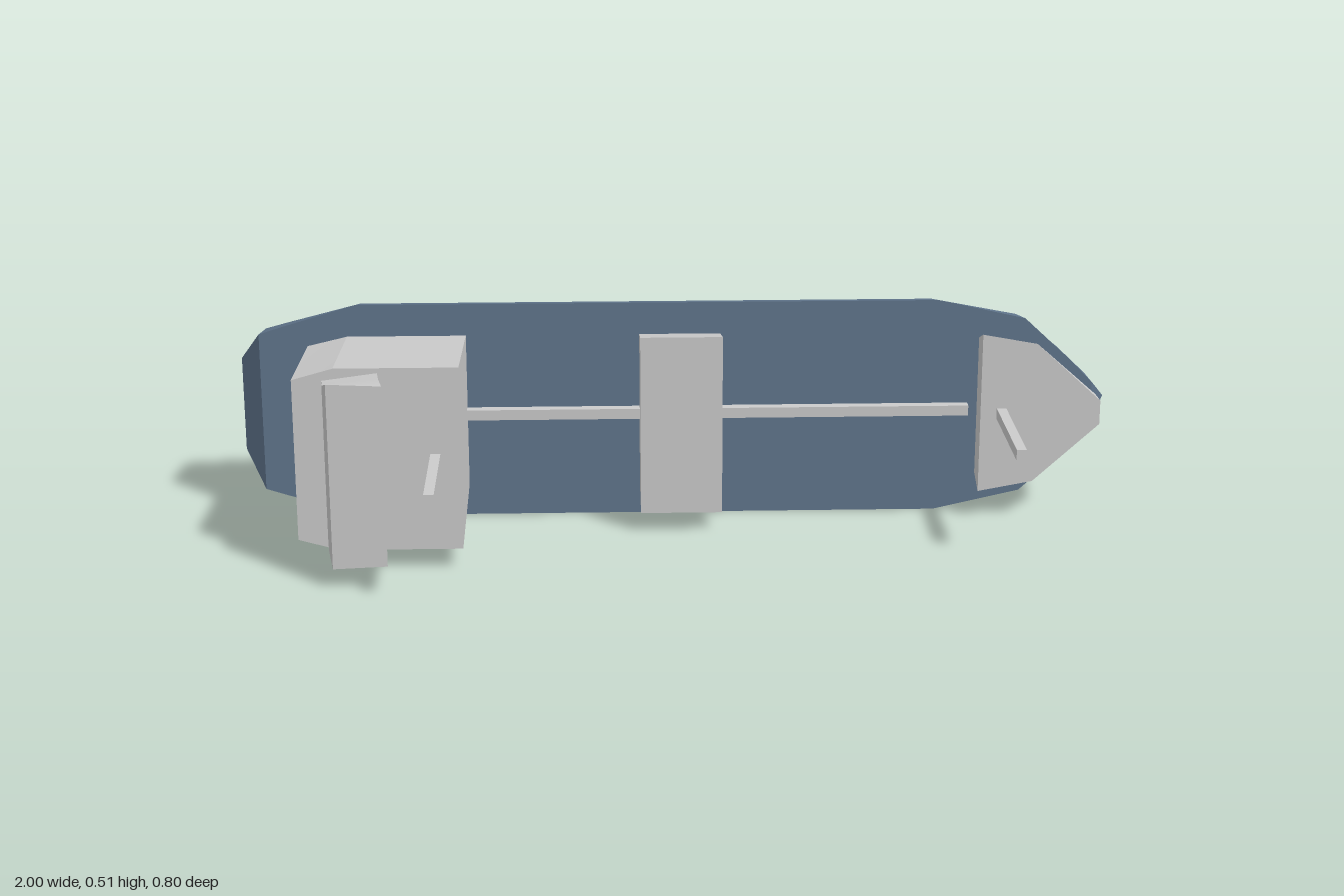
import * as THREE from 'three';
import { toCreasedNormals } from 'three/addons/utils/BufferGeometryUtils.js';

const CY = 0.257; // height of the ship's centreline
const DECK = -0.215;

// Skin a list of equal-length convex rings, closing both ends.
// Rings run counter-clockwise as seen from the end of the loft.
function loft(rings, crease) {
  const pos = [];
  const tri = (a, b, c) => pos.push(...a, ...b, ...c);
  const n = rings[0].length;
  for (let i = 0; i < rings.length - 1; i++) {
    for (let j = 0; j < n; j++) {
      const k = (j + 1) % n;
      const a = rings[i], b = rings[i + 1];
      tri(a[j], a[k], b[k]);
      tri(a[j], b[k], b[j]);
    }
  }
  const first = rings[0], last = rings[rings.length - 1];
  for (let j = 1; j < n - 1; j++) {
    tri(first[0], first[j + 1], first[j]);
    tri(last[0], last[j], last[j + 1]);
  }
  const g = new THREE.BufferGeometry();
  g.setAttribute('position', new THREE.Float32BufferAttribute(pos, 3));
  return toCreasedNormals(g, crease);
}

// Hull cross-section: deck edge, chine, then a rounded bottom to the keel
function hullRing([x, w, zDeck, zChine, zKeel]) {
  const half = [[1, zDeck]];
  for (const [f, t] of [[0.86, 0], [0.69, 0.55], [0.49, 0.85], [0.25, 0.97]]) {
    half.push([f, zChine + (zKeel - zChine) * t]);
  }
  return [
    ...half.map(([f, z]) => [x, CY - w * f, z]),
    [x, CY, zKeel],
    ...half.reverse().map(([f, z]) => [x, CY + w * f, z]),
  ];
}

// Ring at depth z from one side of a plan, [x, half width] going aft, mirrored
function planRing(side, z) {
  return [
    ...side.map(([x, h]) => [x, CY + h, z]),
    ...[...side].reverse().map(([x, h]) => [x, CY - h, z]),
  ];
}

export function createModel() {
  const ship = new THREE.Group();
  ship.name = 'ship';
  const grey = new THREE.MeshStandardMaterial({ color: 0xcccccc });
  const blue = new THREE.MeshStandardMaterial({ color: 0x60758c });

  const add = (name, geometry, material = grey) => {
    const mesh = new THREE.Mesh(geometry, material);
    mesh.name = name;
    ship.add(mesh);
    return mesh;
  };

  // Hull stations from stern to bow: x, half beam, deck z, chine z, keel z
  const stations = [
    [-1, 0.11, -0.285, -0.285, -0.285],
    [-0.95, 0.186, DECK, -0.357, -0.378],
    [-0.9, 0.202, DECK, -0.357, -0.396],
    [-0.73, 0.253, DECK, -0.357, -0.397],
    [0.6, 0.253, DECK, -0.357, -0.397],
    [0.8, 0.208, DECK, -0.357, -0.397],
    [0.9, 0.115, DECK, -0.357, -0.396],
    [0.96, 0.054, DECK, -0.314, -0.329],
    [1, 0, -0.285, -0.285, -0.285],
  ];
  add('hull', loft(stations.map(hullRing), 0.6), blue);

  // Deck blocks, narrowing slightly in width down to the deck
  const block = (name, plan, top, taper) => {
    const foot = plan.map(([x, h]) => [x, h * taper]);
    add(name, loft([planRing(foot, DECK), planRing(plan, top)], 0.2));
  };
  block('aftHouse', [[-0.48, 0.208], [-0.75, 0.208], [-0.84, 0.183]], 0.133, 0.86);
  block('midHouse', [[0.1, 0.208], [-0.085, 0.208]], -0.083, 0.86);
  block('forecastle', [[0.97, 0.028], [0.82, 0.165], [0.695, 0.188]], -0.152, 0.87);

  // Bridge leaning forward, with wings flaring out at the top
  const bridge = [
    [0.133, -0.655, 0.197, -0.775, 0.181],
    [0.19, -0.648, 0.2, -0.768, 0.188],
    [0.25, -0.637, 0.203, -0.755, 0.208],
  ].map(([z, xf, hf, xa, ha]) => planRing([[xf, hf], [xa, ha]], z));
  add('bridge', loft(bridge, 0.5));

  // Pipes along the deck
  for (const [x0, x1] of [[-0.48, -0.085], [0.1, 0.67]]) {
    add('deckPipe', new THREE.BoxGeometry(x1 - x0, 0.024, 0.024))
      .position.set((x0 + x1) / 2, CY, -0.188);
  }

  // Masts
  for (const [name, x, z0, z1] of [['aftMast', -0.535, 0.133, 0.398], ['foreMast', 0.743, -0.155, 0.147]]) {
    add(name, new THREE.BoxGeometry(0.022, 0.024, z1 - z0))
      .position.set(x, CY, (z0 + z1) / 2);
  }

  return ship;
}
